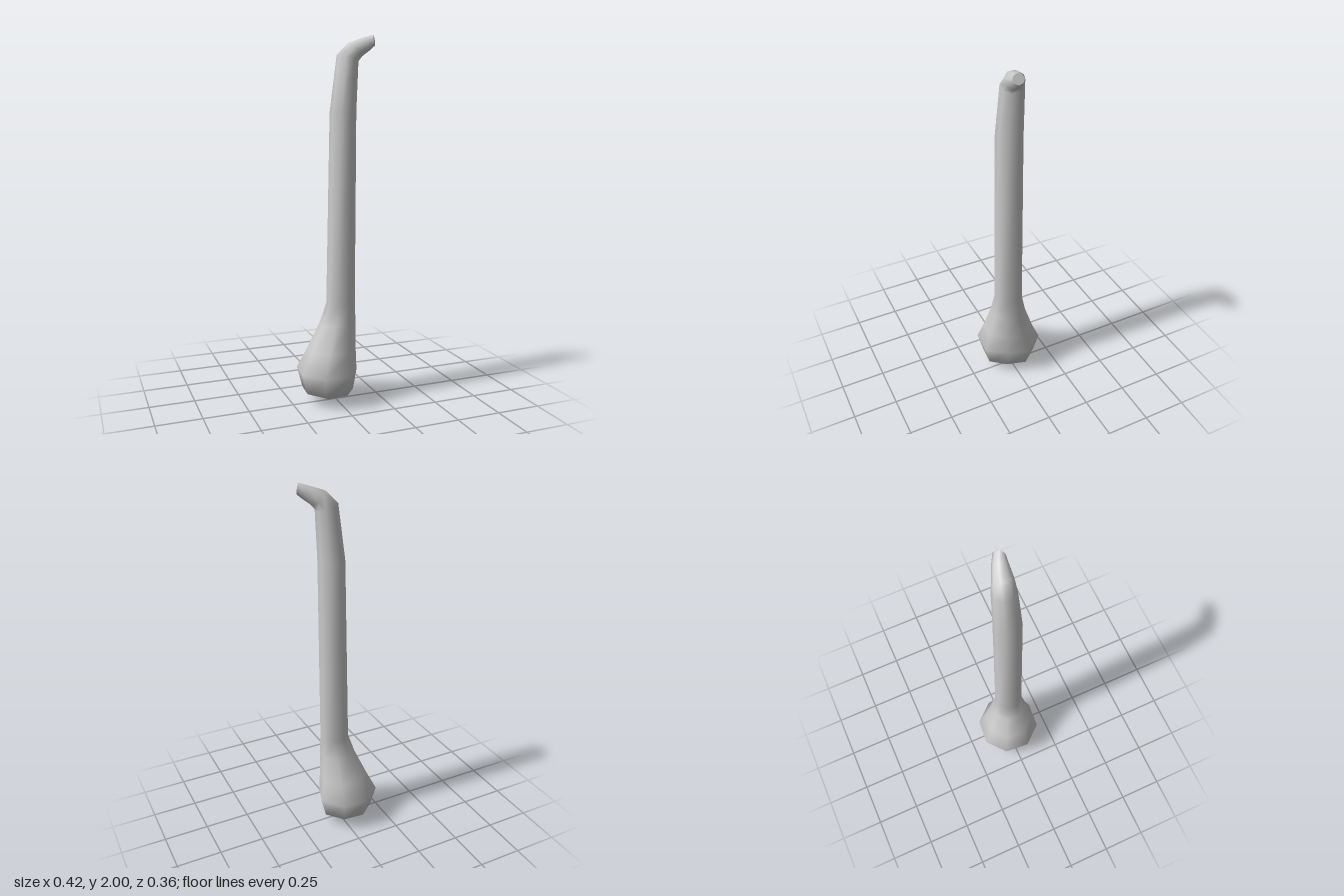
import * as THREE from 'three';

const SIDES = 8;
const PHASE = -0.31;

// Each ring: centre, radius, direction it faces, and scale of the dented corner
const RINGS = [
  { c: [-0.035, 0.07, 0], r: 0.155, dent: 0.85 },
  { c: [-0.034, 0.185, 0], r: 0.187, dent: 0.8 },
  { c: [-0.02, 0.3, 0.008], r: 0.143, dent: 0.9 },
  { c: [0.005, 0.45, 0.02], r: 0.1 },
  { c: [0.02, 0.56, 0.025], r: 0.079 },
  { c: [0.033, 1.6, 0.024], r: 0.071 },
  { c: [0.06, 1.88, 0.02], r: 0.06, dir: [0.3, 0.95, 0] },
  { c: [0.099, 1.924, 0.03], r: 0.051, dir: [0.7, 0.7, 0.12] },
  { c: [0.158, 1.953, 0.044], r: 0.038, dir: [0.85, 0.35, 0.3] },
  { c: [0.196, 1.973, 0.057], r: 0.028, dir: [0.85, 0.15, 0.5] },
];

// Smooth skin through the rings, closed by a point below and a flat cut on top
function loft(rings) {
  const up = new THREE.Vector3(0, 1, 0);
  const pos = [];
  const index = [];
  const all = [...rings, rings[rings.length - 1]]; // last ring repeated for a sharp cut
  all.forEach(({ c, r, dir = [0, 1, 0], dent = 1 }) => {
    const q = new THREE.Quaternion().setFromUnitVectors(up, new THREE.Vector3(...dir).normalize());
    for (let k = 0; k < SIDES; k++) {
      const a = PHASE + (k / SIDES) * Math.PI * 2;
      const rad = k === 1 ? r * dent : r;
      const p = new THREE.Vector3(Math.cos(a) * rad, 0, Math.sin(a) * rad).applyQuaternion(q);
      pos.push(p.x + c[0], p.y + c[1], p.z + c[2]);
    }
  });
  const bottom = pos.length / 3;
  pos.push(-0.04, 0, 0, ...rings[rings.length - 1].c);
  const last = rings.length * SIDES;
  for (let k = 0; k < SIDES; k++) {
    const n = (k + 1) % SIDES;
    for (let i = 0; i < rings.length - 1; i++) {
      const a = i * SIDES + k, b = i * SIDES + n;
      index.push(a, a + SIDES, b, b, a + SIDES, b + SIDES);
    }
    index.push(bottom, k, n);
    index.push(bottom + 1, last + n, last + k);
  }
  const g = new THREE.BufferGeometry();
  g.setAttribute('position', new THREE.Float32BufferAttribute(pos, 3));
  g.setIndex(index);
  g.computeVertexNormals();
  return g;
}

export function createModel() {
  const group = new THREE.Group();
  group.name = 'gourd';
  // Round bulb, long neck and bent stem in one skin
  const body = new THREE.Mesh(loft(RINGS), new THREE.MeshStandardMaterial({ color: 0xcccccc }));
  body.name = 'gourdBody';
  group.add(body);
  return group;
}
